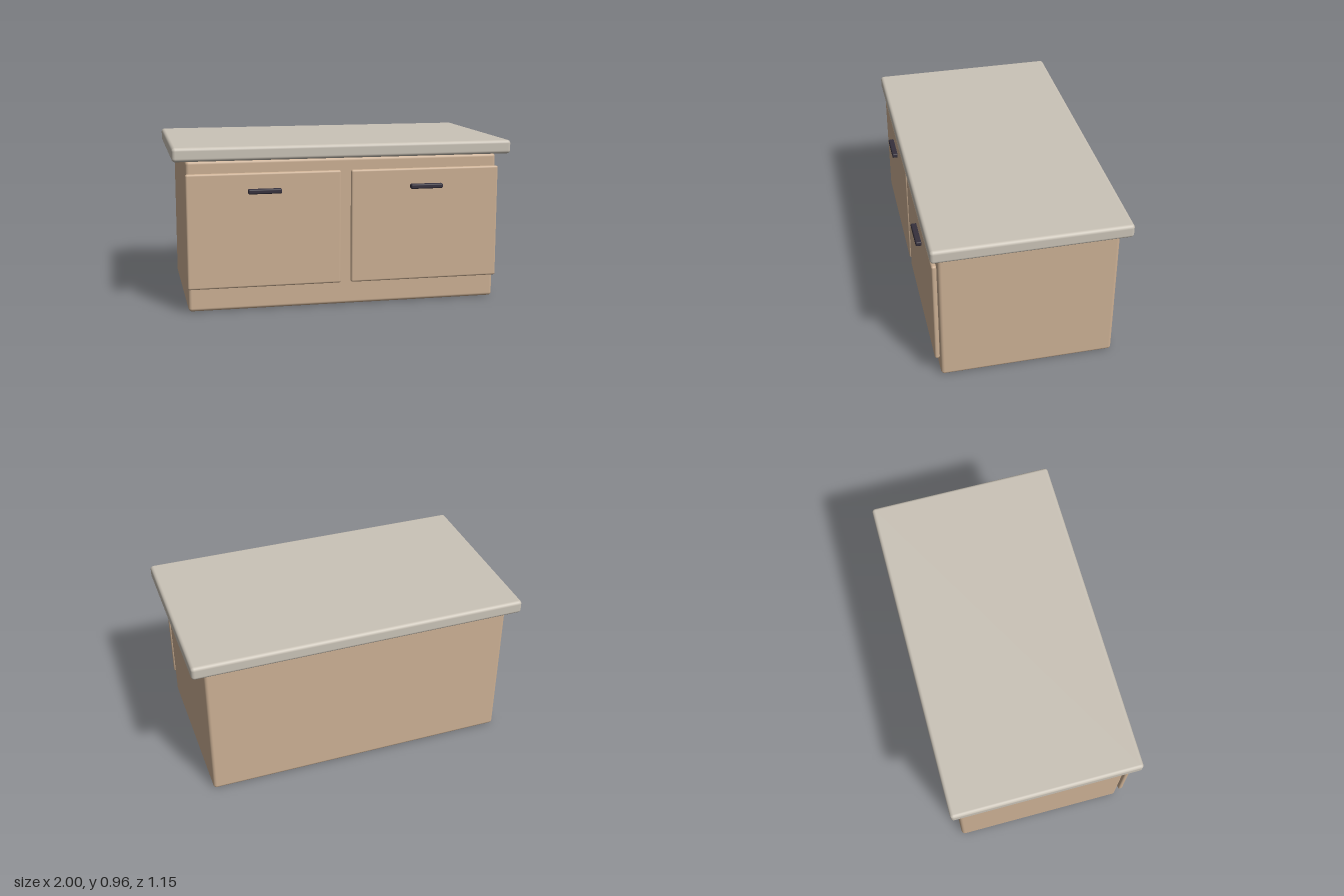
import * as THREE from 'three';
import { RoundedBoxGeometry } from 'three/addons/geometries/RoundedBoxGeometry.js';

export function createModel() {
  const model = new THREE.Group();
  model.name = 'baseCabinet';

  const wood = new THREE.MeshStandardMaterial({ color: 0xccb094 });
  const stone = new THREE.MeshStandardMaterial({ color: 0xcac3b7 });
  const metal = new THREE.MeshStandardMaterial({ color: 0x35303c });

  // Rounded box spanning two opposite corners
  function addBox(name, min, max, radius, material) {
    const size = max.map((v, i) => v - min[i]);
    const mesh = new THREE.Mesh(new RoundedBoxGeometry(...size, 4, radius), material);
    mesh.position.set(...max.map((v, i) => (v + min[i]) / 2));
    mesh.name = name;
    model.add(mesh);
  }

  addBox('cabinetBody', [-0.923, 0, -0.522], [0.923, 0.878, 0.505], 0.02, wood);
  addBox('countertop', [-1, 0.879, -0.573], [1, 0.96, 0.555], 0.02, stone);

  // Mirrored pair of doors, each with a bar handle near its top
  for (const [side, s] of [['left', 1], ['right', -1]]) {
    const x = s * 0.479;
    addBox(`${side}Door`, [x - 0.449, 0.138, 0.511], [x + 0.449, 0.807, 0.54], 0.012, wood);
    addBox(`${side}Handle`, [x - 0.097, 0.688, 0.537], [x + 0.097, 0.716, 0.573], 0.008, metal);
  }

  return model;
}
